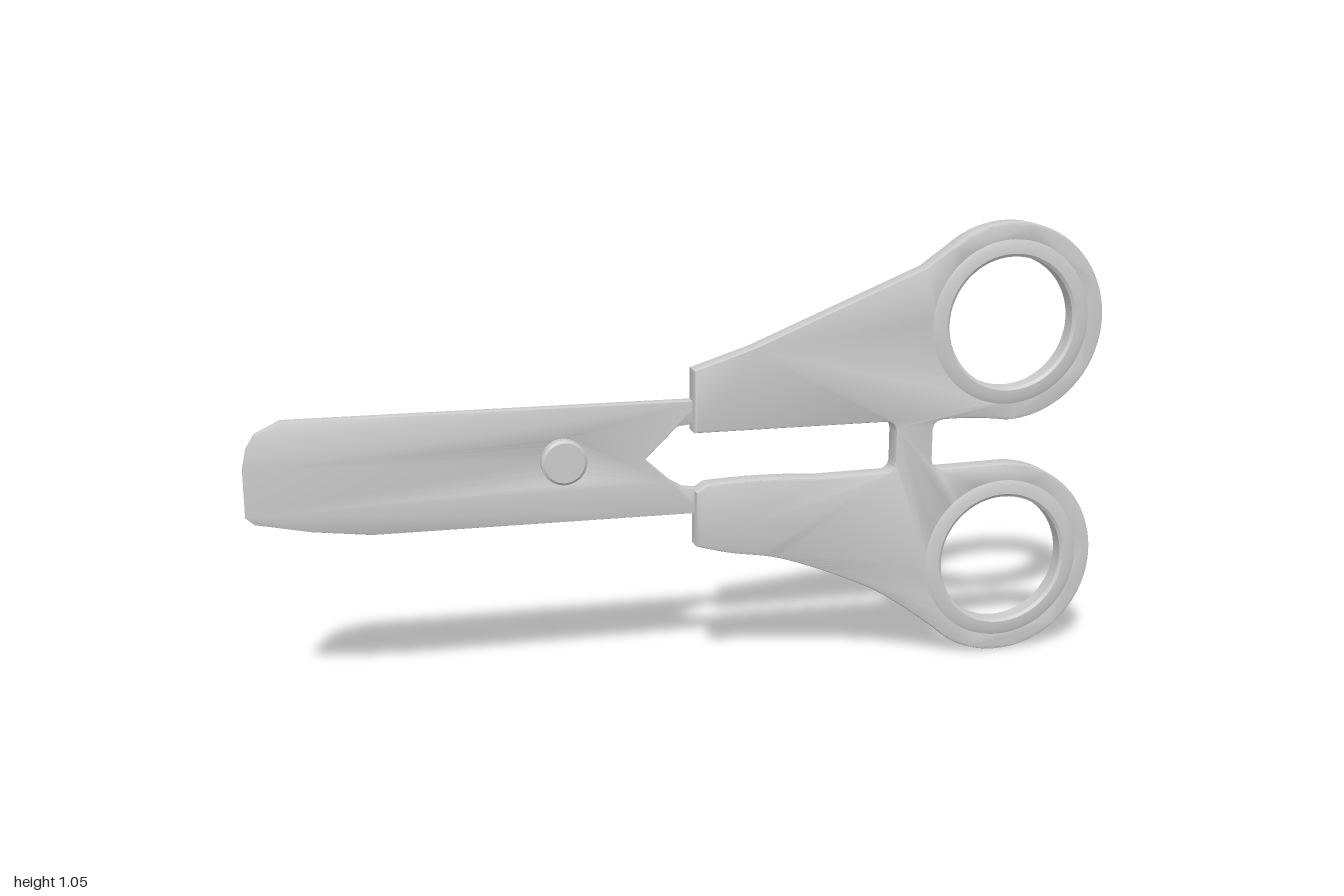
import * as THREE from 'three';
import { toCreasedNormals } from 'three/addons/utils/BufferGeometryUtils.js';

const material = new THREE.MeshStandardMaterial({ color: 0xcccccc });
const RING_X = 0.765, RING_R = 0.235, HOLE_R = 0.155, SEAT_R = 0.182;
const RING_Y = { lower: 0.235, upper: 0.813 };

function addMesh(group, name, geometry) {
  const mesh = new THREE.Mesh(toCreasedNormals(geometry, 0.5), material);
  mesh.name = name;
  group.add(mesh);
  return mesh;
}

// Plate between two z planes with a small bevel kept inside the outline
function plate(shape, back, front, bevel) {
  const geometry = new THREE.ExtrudeGeometry(shape, {
    depth: front - back - 2 * bevel, bevelEnabled: true, bevelThickness: bevel,
    bevelSize: bevel, bevelOffset: -bevel, bevelSegments: 2, curveSegments: 32,
  });
  return geometry.translate(0, 0, back + bevel);
}

function circleHole(x, y, r) {
  return new THREE.Path().absarc(x, y, r, 0, Math.PI * 2, true);
}

// Both grips, finger rings and the bridge in one outline
function handleShape() {
  const s = new THREE.Shape();
  s.moveTo(0, 0.735);
  s.lineTo(0, 0.59);
  s.lineTo(0.46, 0.59);
  s.quadraticCurveTo(0.487, 0.59, 0.487, 0.56);
  s.lineTo(0.487, 0.495);
  s.quadraticCurveTo(0.487, 0.467, 0.46, 0.467);
  s.lineTo(0.3, 0.465);
  s.quadraticCurveTo(0.15, 0.476, 0.03, 0.466);
  s.lineTo(0.005, 0.45);
  s.lineTo(0.005, 0.32);
  s.splineThru([[0.09, 0.298], [0.2, 0.278], [0.32, 0.235], [0.44, 0.18], [0.53, 0.122]]
    .map(([x, y]) => new THREE.Vector2(x, y)));
  s.absarc(RING_X, RING_Y.lower, RING_R, -2.36, Math.PI * 0.5, false);
  s.quadraticCurveTo(0.69, 0.468, 0.61, 0.467);
  s.quadraticCurveTo(0.58, 0.467, 0.58, 0.495);
  s.lineTo(0.58, 0.56);
  s.quadraticCurveTo(0.58, 0.588, 0.61, 0.588);
  s.quadraticCurveTo(0.69, 0.59, RING_X, RING_Y.upper - RING_R);
  s.absarc(RING_X, RING_Y.upper, RING_R, -Math.PI / 2, 2.25, false);
  s.lineTo(0.55, 0.948);
  s.lineTo(0.14, 0.78);
  s.closePath();
  for (const y of Object.values(RING_Y)) s.holes.push(circleHole(RING_X, y, SEAT_R));
  return s;
}

// Blunt blade with a pointed notch between the grips
function bladeShape() {
  const s = new THREE.Shape([
    [0.02, 0.395], [0.02, 0.452], [-0.02, 0.457], [-0.05, 0.475], [-0.11, 0.53],
    [-0.035, 0.603], [0.02, 0.61], [0.02, 0.662], [-0.915, 0.664], [-0.97, 0.637],
    [-0.99, 0.605], [-1, 0.56], [-1, 0.455], [-0.98, 0.438], [-0.86, 0.413], [-0.73, 0.397],
  ].map(([x, y]) => new THREE.Vector2(x, y)));
  s.holes.push(circleHole(-0.3, 0.54, 0.05));
  return s;
}

// Closed profile (radius, z) turned around the z axis
function turned(profile, x, y) {
  const points = profile.map(([r, z]) => new THREE.Vector2(r, z));
  return new THREE.LatheGeometry(points, 64).rotateX(Math.PI / 2).translate(x, y, 0);
}

export function createModel() {
  const group = new THREE.Group();
  group.name = 'scissors';

  addMesh(group, 'handles', plate(handleShape(), -0.03, 0.023, 0.006));
  addMesh(group, 'blade', plate(bladeShape(), -0.029, 0, 0.003));

  // Finger hole rims: proud at the front, set back behind
  for (const [side, y] of Object.entries(RING_Y)) {
    addMesh(group, side + 'FingerRim', turned([
      [HOLE_R, -0.012], [0.195, -0.012], [0.195, 0.023], [0.183, 0.028],
      [0.162, 0.029], [HOLE_R, 0.024], [HOLE_R, -0.012],
    ], RING_X, y));
  }

  // Pivot pin: raised head at the front, slightly sunk at the back
  addMesh(group, 'pivotPin', turned([
    [0, -0.022], [0.051, -0.022], [0.052, 0.019], [0.046, 0.024], [0, 0.024],
  ], -0.3, 0.54));

  return group;
}
